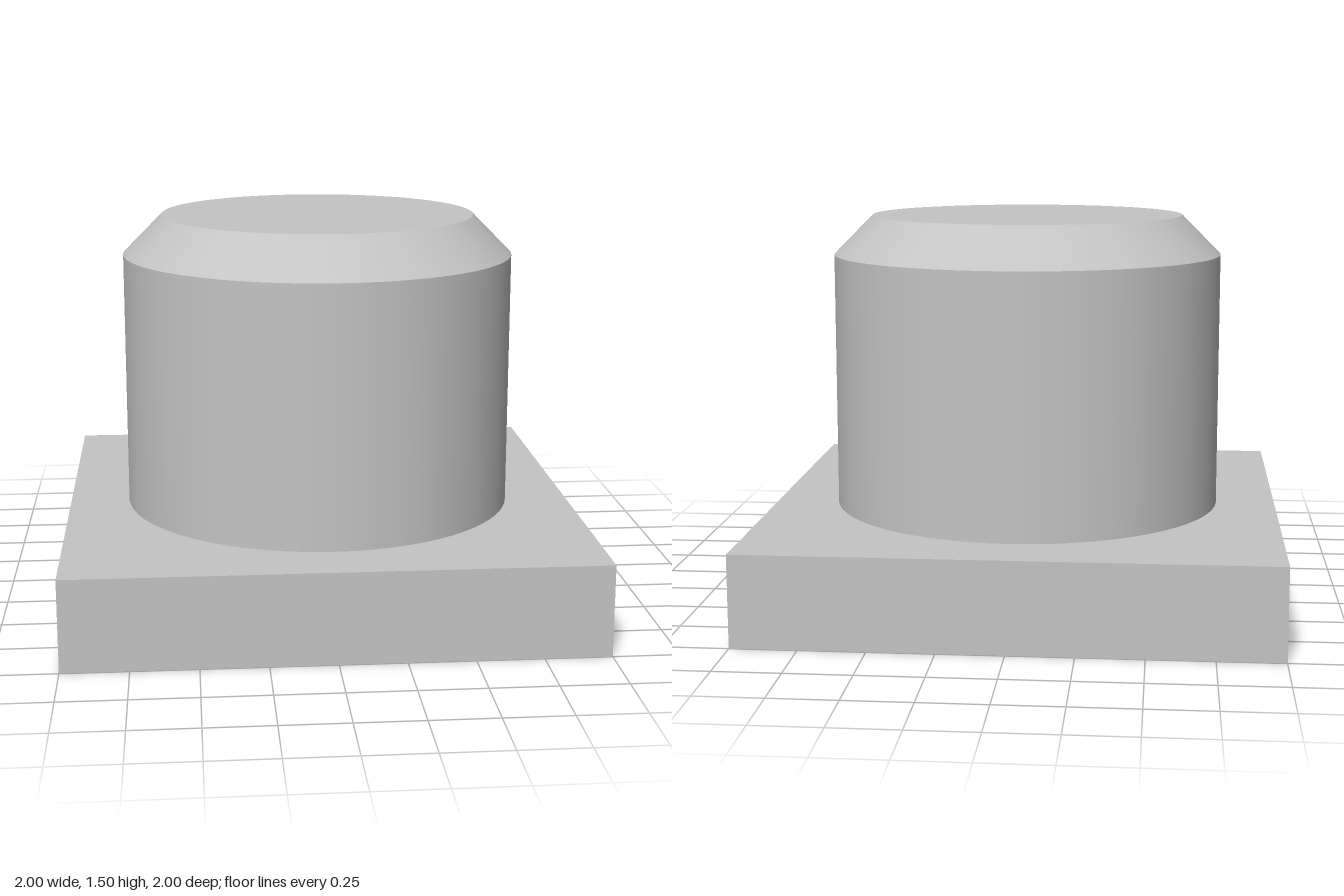
import * as THREE from 'three';

export function createModel() {
  const group = new THREE.Group();
  const grey = new THREE.MeshStandardMaterial({ color: 0xc4c4c4 });
  grey.name = 'light grey';

  const baseHeight = 0.35, shoulderY = 1.35, topY = 1.504;
  const radius = 0.768, topRadius = 0.615, sides = 96;

  const add = (name, geometry, y) => {
    const mesh = new THREE.Mesh(geometry, grey);
    mesh.name = name;
    mesh.position.y = y;
    group.add(mesh);
  };

  // Square base plate
  add('basePlate', new THREE.BoxGeometry(2, baseHeight, 2), baseHeight / 2);

  // Straight round post, open where it meets the plate and the chamfer
  add('post',
    new THREE.CylinderGeometry(radius, radius, shoulderY - baseHeight, sides, 1, true),
    (baseHeight + shoulderY) / 2);

  // Chamfered shoulder
  add('chamfer',
    new THREE.CylinderGeometry(topRadius, radius, topY - shoulderY, sides, 1, true),
    (shoulderY + topY) / 2);

  // Flat top
  const top = new THREE.CircleGeometry(topRadius, sides);
  top.rotateX(-Math.PI / 2);
  add('topFace', top, topY);

  return group;
}
